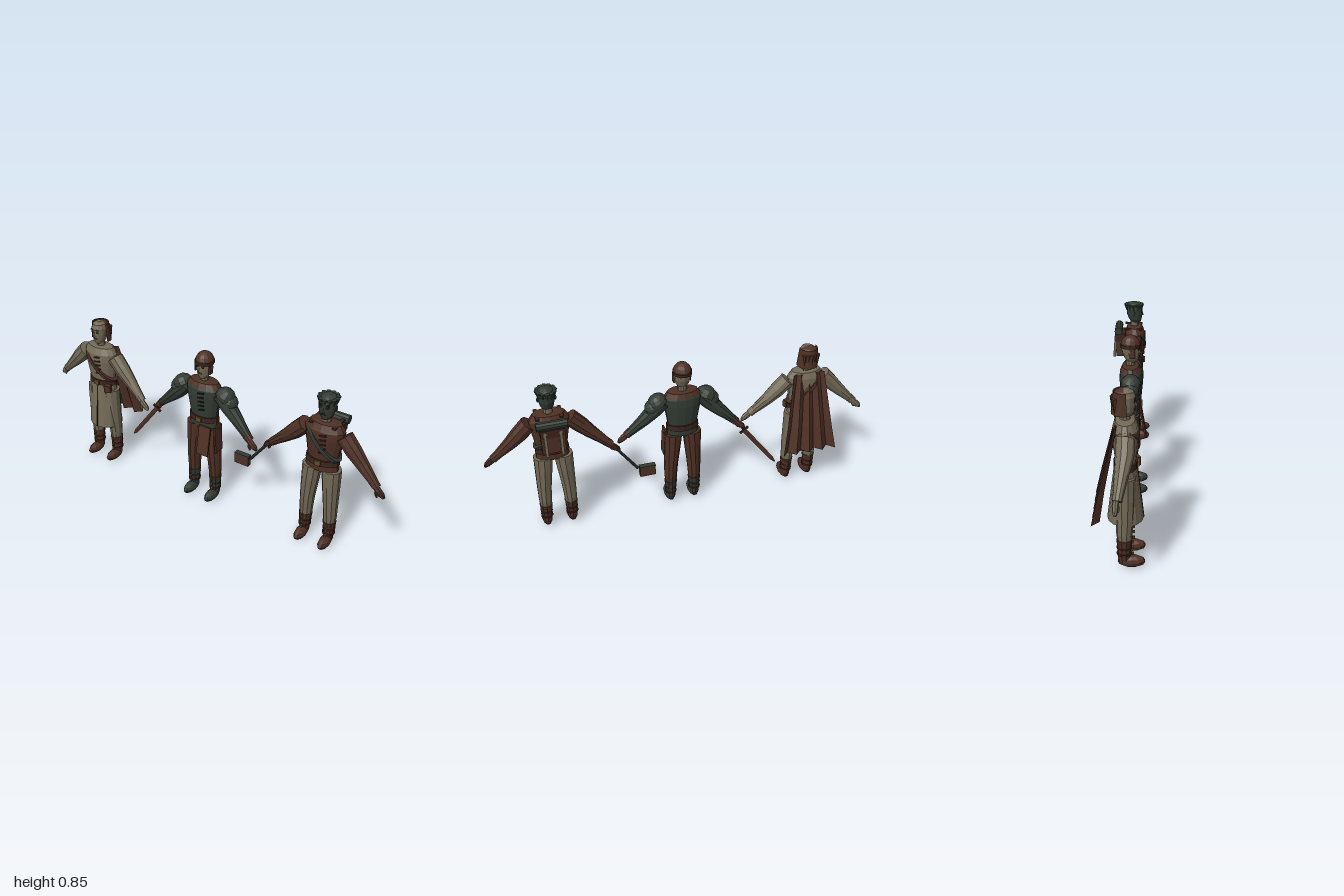
import * as THREE from 'three';

const paint = (name, color) => {
  const m = new THREE.MeshStandardMaterial({ color, flatShading: true, side: THREE.DoubleSide });
  m.name = name;
  return m;
};
const brown = paint('leather brown', 0x4e3025);
const darkBrown = paint('dark brown', 0x3c241c);
const tan = paint('linen tan', 0x736a57);
const green = paint('dark green', 0x333b33);
const black = paint('near black', 0x1c1f1b);
const brass = paint('old brass', 0x5e4c28);

// Stacked elliptical rings: each section is [x, y, z, half width, half depth]
function loft(sections, sides = 12, axis = [0, 1, 0]) {
  const w = new THREE.Vector3(...axis).normalize();
  const u = new THREE.Vector3(0, 0, 1).addScaledVector(w, -w.z).normalize();
  const v = new THREE.Vector3().crossVectors(w, u);
  const pos = [], idx = [];
  for (const [x, y, z, rx, rz = rx] of sections)
    for (let j = 0; j < sides; j++) {
      const a = (j / sides) * Math.PI * 2;
      const p = new THREE.Vector3(x, y, z).addScaledVector(u, Math.cos(a) * rz).addScaledVector(v, Math.sin(a) * rx);
      pos.push(p.x, p.y, p.z);
    }
  for (let i = 0; i < sections.length - 1; i++)
    for (let j = 0; j < sides; j++) {
      const a = i * sides + j, b = i * sides + (j + 1) % sides;
      idx.push(a, b, b + sides, a, b + sides, a + sides);
    }
  const last = (sections.length - 1) * sides;
  for (let j = 1; j < sides - 1; j++) idx.push(0, j + 1, j, last, last + j, last + j + 1);
  const g = new THREE.BufferGeometry();
  g.setAttribute('position', new THREE.Float32BufferAttribute(pos, 3));
  g.setIndex(idx);
  g.computeVertexNormals();
  return g;
}

function add(group, name, geo, mat, p = [0, 0, 0], r = [0, 0, 0], s = [1, 1, 1]) {
  const m = new THREE.Mesh(geo, mat);
  m.name = name;
  m.position.set(...p);
  m.rotation.set(...r);
  m.scale.set(...s);
  group.add(m);
  return m;
}
const box = (w, h, d) => new THREE.BoxGeometry(w, h, d);
const ball = (a = 10, b = 7) => new THREE.SphereGeometry(1, a, b);

// Body shared by all three figures
function figure(name, x, c) {
  const g = new THREE.Group();
  g.name = name;
  g.position.x = x;
  add(g, 'torso', loft([[0, 0.44, 0.028, 0.085, 0.045], [0, 0.5, 0.028, 0.077, 0.046], [0, 0.56, 0.028, 0.087, 0.053],
    [0, 0.62, 0.028, 0.098, 0.058], [0, 0.66, 0.028, 0.1, 0.056], [0, 0.69, 0.026, 0.08, 0.042]], 14), c.torso);
  add(g, 'collar', loft([[0, 0.67, 0.027, 0.095, 0.054], [0, 0.694, 0.026, 0.078, 0.043], [0, 0.698, 0.026, 0.03, 0.03]], 14), c.collar);
  add(g, 'belt', loft([[0, 0.475, 0.028, 0.086, 0.053], [0, 0.505, 0.028, 0.083, 0.053]], 14), darkBrown);
  add(g, 'buckle', box(0.03, 0.026, 0.009), brass, [0, 0.49, 0.083]);
  for (let i = 0; i < 5; i++) add(g, 'chestLace', box(0.035, 0.007, 0.009), c.lace, [0.015, 0.55 + i * 0.024, 0.079 + Math.min(i, 3) * 0.002], [0, 0, 0.2]);
  // Head
  add(g, 'neck', loft([[0, 0.68, 0.025, 0.023], [0, 0.735, 0.025, 0.022]], 10), tan);
  add(g, 'head', loft([[0, 0.716, 0.034, 0.022, 0.026], [0, 0.735, 0.03, 0.034, 0.036], [0, 0.765, 0.026, 0.04, 0.044],
    [0, 0.8, 0.025, 0.042, 0.046], [0, 0.822, 0.025, 0.034, 0.038], [0, 0.834, 0.025, 0.015, 0.018]], 12), c.skin);
  add(g, 'nose', new THREE.ConeGeometry(0.008, 0.026, 4), c.skin, [0, 0.77, 0.07]);
  add(g, 'mouth', box(0.022, 0.004, 0.006), darkBrown, [0, 0.745, 0.066]);
  for (const s of [1, -1]) {
    add(g, 'eye', ball(8, 5), black, [s * 0.016, 0.783, 0.066], [0, 0, 0], [0.009, 0.007, 0.004]);
    add(g, 'eyebrow', box(0.018, 0.005, 0.006), c.hair, [s * 0.017, 0.796, 0.067]);
    add(g, 'ear', ball(6, 5), c.skin, [s * 0.042, 0.772, 0.024], [0, 0, 0], [0.006, 0.014, 0.009]);
    // Arm swings a little forward on the left and back on the right
    const hz = s > 0 ? 0.062 : -0.002;
    const axis = [s * 0.2, -0.22, s > 0 ? 0.03 : -0.03];
    add(g, 'arm', loft([[s * 0.098, 0.646, 0.03, 0.042, 0.042], [s * 0.15, 0.59, 0.032 + s * 0.003, 0.041, 0.04],
      [s * 0.2, 0.54, 0.03 + s * 0.01, 0.033, 0.032], [s * 0.285, 0.46, hz - s * 0.008, 0.019, 0.02]], 10, axis), c.arm);
    add(g, 'cuff', loft([[s * 0.265, 0.479, hz - s * 0.01, 0.023], [s * 0.288, 0.457, hz - s * 0.007, 0.021]], 10, axis), c.cuff);
    add(g, 'hand', loft([[s * 0.283, 0.462, hz - s * 0.004, 0.013], [s * 0.3, 0.443, hz, 0.019, 0.014],
      [s * 0.318, 0.428, hz, 0.016, 0.012], [s * 0.331, 0.415, hz, 0.007, 0.007]], 8, axis), c.hand);
    add(g, 'thumb', ball(6, 5), c.hand, [s * 0.296, 0.428, hz + 0.012], [0, 0, s * 0.5], [0.007, 0.016, 0.007]);
    // Leg and boot
    add(g, 'leg', loft([[s * 0.064, 0.12, 0.026, 0.029, 0.03], [s * 0.065, 0.17, 0.025, 0.033, 0.036],
      [s * 0.062, 0.25, 0.028, 0.037, 0.041], [s * 0.055, 0.36, 0.027, 0.044, 0.047], [s * 0.05, 0.445, 0.027, 0.049, 0.048]], 10), c.leg);
    add(g, 'boot', loft([[s * 0.066, 0.03, 0.025, 0.024, 0.027], [s * 0.066, 0.09, 0.025, 0.028, 0.03], [s * 0.065, 0.142, 0.025, 0.034, 0.036]], 10), c.boot);
    add(g, 'foot', ball(10, 6), c.foot, [s * 0.066, 0.03, 0.057], [0, 0, 0], [0.028, 0.03, 0.064]);
    for (const y of [0.07, 0.1, 0.128]) {
      add(g, 'bootStrap', loft([[s * 0.066, y - 0.005, 0.025, 0.031, 0.034], [s * 0.066, y + 0.005, 0.025, 0.032, 0.035]], 10), darkBrown);
      add(g, 'bootBuckle', box(0.01, 0.011, 0.009), brass, [s * 0.066, y, 0.063]);
    }
  }
  return g;
}

// Band slung from one shoulder to the opposite hip
function sash(g, mat) {
  const a = [0.72, 0.7, 0];
  add(g, 'sash', loft([[-0.008, 0.58, 0.028, 0.124, 0.064], [0.006, 0.594, 0.028, 0.124, 0.064]], 20, a), mat);
}

function cloakedFigure() {
  const g = figure('cloakedFigure', -0.67, { torso: tan, collar: tan, lace: darkBrown, skin: tan, hair: brown, arm: tan, cuff: tan, hand: tan, leg: tan, boot: brown, foot: brown });
  sash(g, brown);
  add(g, 'tunicSkirt', loft([[0, 0.22, 0.028, 0.093, 0.082], [0, 0.35, 0.028, 0.089, 0.066], [0, 0.485, 0.028, 0.081, 0.05]], 14), tan);
  add(g, 'skirtSlit', box(0.007, 0.25, 0.006), black, [0, 0.345, 0.094], [-0.12, 0, 0]);
  add(g, 'pouch', box(0.036, 0.04, 0.026), brown, [0.068, 0.468, 0.075], [0, 0.4, 0]);
  // Long hair around the sides and back
  const hair = new THREE.CylinderGeometry(0.046, 0.055, 0.1, 10, 1, true, Math.PI * 0.42, Math.PI * 1.16);
  add(g, 'hair', hair, brown, [0, 0.775, 0.02]);
  add(g, 'hairCrown', new THREE.SphereGeometry(0.047, 10, 4, Math.PI, Math.PI, 0, Math.PI / 2), brown, [0, 0.805, 0.02], [0, 0, 0], [1, 0.65, 1]);
  for (let i = -2; i <= 2; i++) add(g, 'hairLock', new THREE.ConeGeometry(0.012, 0.09, 5), brown, [i * 0.018, 0.755, -0.027 + Math.abs(i) * 0.005], [Math.PI, 0, 0]);
  // Pleated cape
  const n = 8, pos = [], idx = [];
  const rows = [[0.69, 0.085, -0.012, 0.01], [0.55, 0.105, -0.04, 0.018], [0.4, 0.126, -0.072, 0.026], [0.255, 0.15, -0.098, 0.036]];
  rows.forEach(([y, half, z, fold], r) => {
    for (let i = 0; i <= n; i++) {
      pos.push((i / n * 2 - 1) * half, y, z + (i % 2 ? 0.5 : -0.5) * fold);
      if (r && i < n) {
        const a = r * (n + 1) + i, b = a - n - 1;
        idx.push(a, b, a + 1, b, b + 1, a + 1);
      }
    }
  });
  const cape = new THREE.BufferGeometry();
  cape.setAttribute('position', new THREE.Float32BufferAttribute(pos, 3));
  cape.setIndex(idx);
  cape.computeVertexNormals();
  add(g, 'cape', cape, brown);
  return g;
}

function swordFigure() {
  const g = figure('swordFigure', 0, { torso: green, collar: brown, lace: black, skin: tan, hair: brown, arm: green, cuff: brown, hand: brown, leg: brown, boot: green, foot: green });
  add(g, 'cap', new THREE.SphereGeometry(1, 12, 5, 0, Math.PI * 2, 0, Math.PI / 2), brown, [0, 0.797, 0.025], [0, 0, 0], [0.047, 0.054, 0.05]);
  add(g, 'capBand', loft([[0, 0.79, 0.025, 0.048, 0.051], [0, 0.806, 0.025, 0.049, 0.052]], 12), darkBrown);
  for (const s of [1, -1]) {
    add(g, 'cheekGuard', box(0.007, 0.05, 0.026), brown, [s * 0.042, 0.767, 0.035]);
    // Layered shoulder plates
    for (const [x, y, r] of [[0.15, 0.615, 0.046], [0.125, 0.637, 0.054]])
      add(g, 'shoulderPlate', new THREE.SphereGeometry(r, 10, 4, 0, Math.PI * 2, 0, Math.PI / 2), green, [s * x, y, 0.03], [0, 0, -s * 0.5], [1, 0.95, 0.95]);
  }
  // Hanging panels at the hip
  add(g, 'frontPanel', box(0.068, 0.16, 0.009), brown, [0.036, 0.378, 0.09], [-0.17, 0, 0]);
  add(g, 'sidePanel', box(0.009, 0.15, 0.06), brown, [0.094, 0.39, 0.045], [0, 0, 0.06]);
  // Sword, built along y and tilted into the right hand
  const sword = new THREE.Group();
  sword.name = 'sword';
  sword.position.set(-0.33, 0.4, -0.005);
  sword.rotation.set(0.06, 0, -0.655);
  add(sword, 'blade', loft([[0, -0.305, 0, 0.002, 0.001], [0, -0.27, 0, 0.011, 0.003], [0, 0, 0, 0.012, 0.004]], 4), brown);
  add(sword, 'guard', box(0.055, 0.009, 0.012), darkBrown);
  add(sword, 'grip', new THREE.CylinderGeometry(0.006, 0.006, 0.07, 8), darkBrown, [0, 0.035, 0]);
  add(sword, 'pommel', ball(8, 5), brass, [0, 0.073, 0], [0, 0, 0], [0.01, 0.01, 0.01]);
  g.add(sword);
  return g;
}

function packFigure() {
  const g = figure('packFigure', 0.67, { torso: brown, collar: brown, lace: darkBrown, skin: green, hair: black, arm: brown, cuff: brown, hand: darkBrown, leg: tan, boot: brown, foot: brown });
  sash(g, green);
  add(g, 'hairCap', new THREE.SphereGeometry(1, 12, 4, 0, Math.PI * 2, 0, Math.PI / 2), green, [0, 0.8, 0.023], [0, 0, 0], [0.046, 0.037, 0.049]);
  for (let i = 0; i < 12; i++) {
    const a = (i / 12) * Math.PI * 2;
    add(g, 'hairTuft', new THREE.ConeGeometry(0.013, 0.035, 5), green, [Math.sin(a) * 0.042, 0.805, 0.023 + Math.cos(a) * 0.045], [Math.PI, 0, 0]);
  }
  // Backpack and bedroll
  add(g, 'backpack', box(0.115, 0.13, 0.05), brown, [0, 0.59, -0.052]);
  add(g, 'packFlap', box(0.12, 0.045, 0.056), darkBrown, [0, 0.638, -0.054]);
  for (const s of [1, -1]) {
    add(g, 'packStrap', box(0.014, 0.135, 0.014), tan, [s * 0.038, 0.585, -0.084], [0.07, 0, 0]);
    add(g, 'shoulderStrap', box(0.018, 0.009, 0.1), darkBrown, [s * 0.058, 0.69, 0.02]);
  }
  add(g, 'bedroll', new THREE.CylinderGeometry(0.022, 0.022, 0.15, 10), green, [0, 0.678, -0.064], [0, 0, Math.PI / 2]);
  // Hammer held in the right hand
  const hammer = new THREE.Group();
  hammer.name = 'hammer';
  hammer.position.set(-0.31, 0.435, -0.005);
  hammer.rotation.set(0.08, 0, -0.64);
  add(hammer, 'hammerHandle', new THREE.CylinderGeometry(0.007, 0.008, 0.2, 8), green, [0, -0.08, 0]);
  g.add(hammer);
  add(g, 'hammerHead', box(0.082, 0.056, 0.026), brown, [-0.467, 0.27, -0.02]);
  add(g, 'hammerTopPlate', box(0.084, 0.006, 0.028), green, [-0.467, 0.299, -0.02]);
  return g;
}

export function createModel() {
  const model = new THREE.Group();
  model.name = 'threeAdventurers';
  model.add(cloakedFigure(), swordFigure(), packFigure());
  return model;
}
